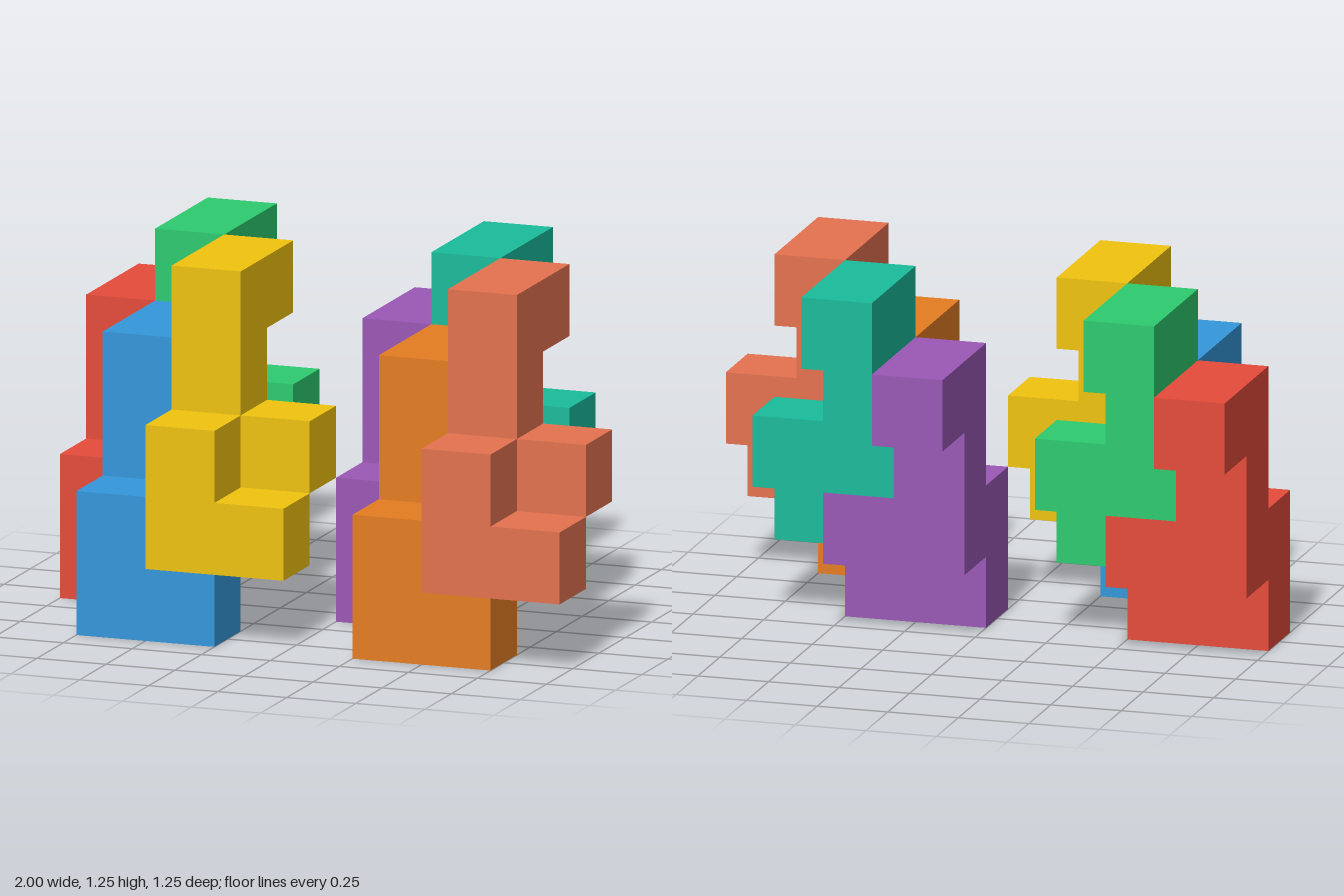
import * as THREE from 'three';
import { mergeGeometries } from 'three/addons/utils/BufferGeometryUtils.js';

const U = 0.25; // edge of one cube

// Cubes of one puzzle piece as [x, y, z] grid cells: a stepped slab and two side cubes
const CELLS = [
  [0, 0, 2], [0, 1, 2], [0, 1, 1], [0, 2, 1], [0, 3, 1], [0, 3, 0],
  [1, 0, 2], [1, 1, 1],
];

// Outer skin of the piece: one square for each cube face without a neighbour
function pieceGeometry() {
  const filled = new Set(CELLS.map(c => c.join()));
  const zAxis = new THREE.Vector3(0, 0, 1);
  const faces = [];
  for (const cell of CELLS) {
    for (let axis = 0; axis < 3; axis++) {
      for (const sign of [-1, 1]) {
        const next = [...cell];
        next[axis] += sign;
        if (filled.has(next.join())) continue;
        const normal = new THREE.Vector3().setComponent(axis, sign);
        const centre = new THREE.Vector3(...cell).addScalar(0.5).multiplyScalar(U);
        centre.addScaledVector(normal, U / 2);
        const face = new THREE.PlaneGeometry(U, U);
        face.applyQuaternion(new THREE.Quaternion().setFromUnitVectors(zAxis, normal));
        face.translate(centre.x, centre.y, centre.z);
        faces.push(face);
      }
    }
  }
  return mergeGeometries(faces);
}

// Where each of the four interlocking pieces sits within a cluster
const PLACES = [
  { name: 'BackLowerPiece', at: [0, 0, 0] },
  { name: 'FrontLowerPiece', at: [1, 0, 2] },
  { name: 'BackUpperPiece', at: [1, 1, 0] },
  { name: 'FrontUpperPiece', at: [2, 1, 2] },
];

// Two identical clusters, side by side, in different colours
const CLUSTERS = [
  { name: 'right', x: -1, colors: [0xe74c3c, 0x3498db, 0x2ecc71, 0xf1c40f] },
  { name: 'left', x: 0, colors: [0x9b59b6, 0xe67e22, 0x1abc9c, 0xe57350] },
];

export function createModel() {
  const model = new THREE.Group();
  model.name = 'interlockingCubePieces';
  const geometry = pieceGeometry();

  for (const { name, x, colors } of CLUSTERS) {
    const cluster = new THREE.Group();
    cluster.name = name + 'Cluster';
    cluster.position.set(x, 0, -2.5 * U);
    PLACES.forEach((place, i) => {
      const material = new THREE.MeshStandardMaterial({ color: colors[i] });
      const piece = new THREE.Mesh(geometry, material);
      piece.name = name + place.name;
      piece.position.set(...place.at).multiplyScalar(U);
      cluster.add(piece);
    });
    model.add(cluster);
  }
  return model;
}
